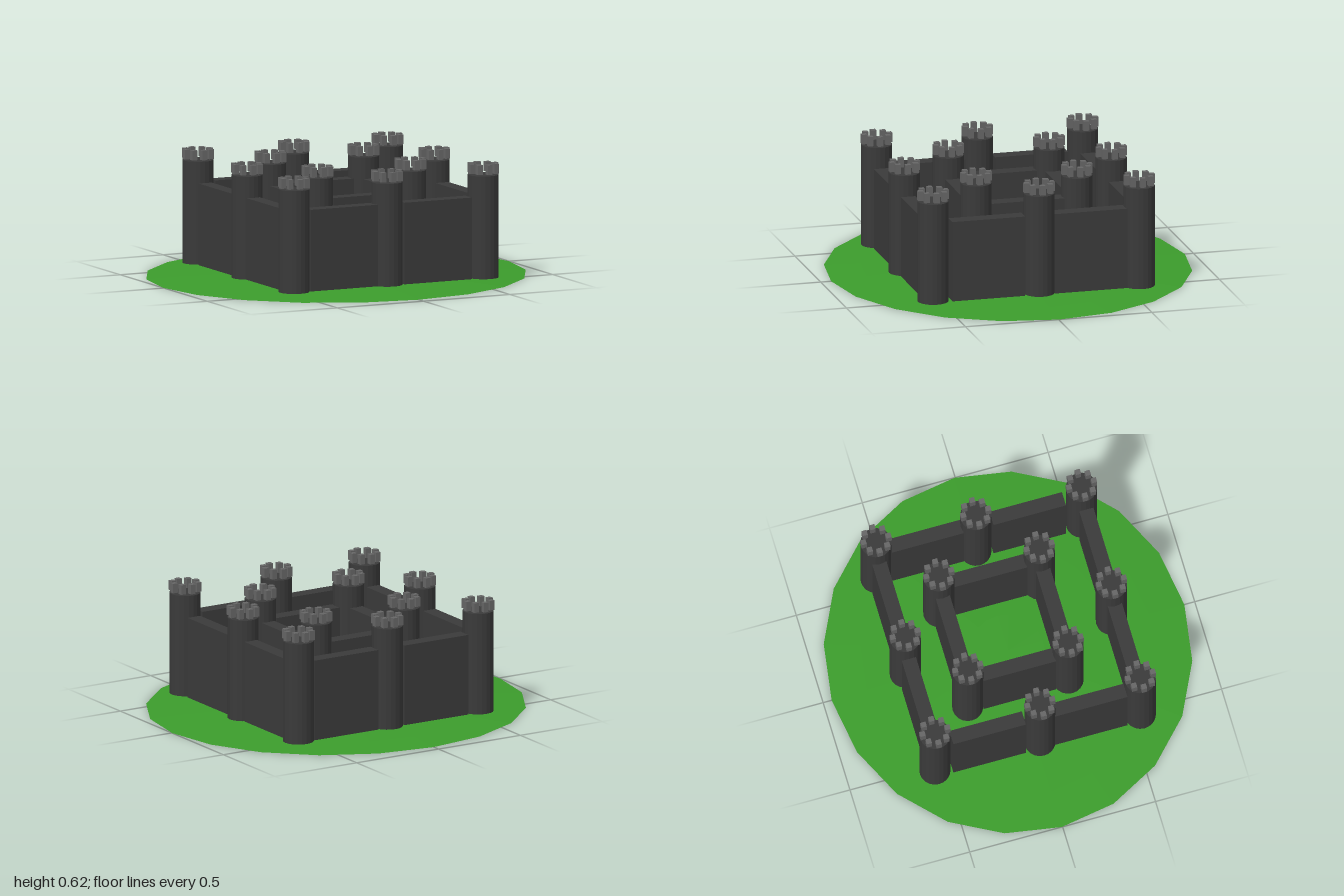
import * as THREE from 'three';

const stone = new THREE.MeshStandardMaterial({ color: 0x3a3a3a, flatShading: true });
const trim = new THREE.MeshStandardMaterial({ color: 0x666666, flatShading: true });
const grass = new THREE.MeshStandardMaterial({ color: 0x3c9c2c, flatShading: true });

const BASE = 0.025, TOWER_TOP = 0.563, WALL_TOP = 0.452;
const TOWER_R = 0.081, WALL_LENGTH = 0.39, WALL_THICK = 0.076;

const towerGeo = new THREE.CylinderGeometry(TOWER_R, TOWER_R, TOWER_TOP - BASE, 20);
const wallGeo = new THREE.BoxGeometry(WALL_LENGTH, WALL_TOP - BASE, WALL_THICK);
const merlonGeo = new THREE.BoxGeometry(0.028, 0.051, 0.028);

function addMesh(parent, name, geo, mat, x, y, z) {
  const mesh = new THREE.Mesh(geo, mat);
  mesh.name = name;
  mesh.position.set(x, y, z);
  parent.add(mesh);
  return mesh;
}

// Round tower crowned by a ring of eight square merlons
function makeTower(name, x, z) {
  const tower = new THREE.Group();
  tower.name = name;
  tower.position.set(x, 0, z);
  addMesh(tower, 'towerShaft', towerGeo, stone, 0, (BASE + TOWER_TOP) / 2, 0);
  for (let i = 0; i < 8; i++) {
    const a = (i * Math.PI) / 4;
    addMesh(tower, 'merlon', merlonGeo, trim, 0.067 * Math.cos(a), 0.5955, 0.067 * Math.sin(a));
  }
  return tower;
}

// Straight wall, running along x or turned to run along z
function addWall(parent, name, x, z, alongZ) {
  const wall = addMesh(parent, name, wallGeo, stone, x, (BASE + WALL_TOP) / 2, z);
  if (alongZ) wall.rotation.y = Math.PI / 2;
}

export function createModel() {
  const castle = new THREE.Group();
  castle.name = 'castle';

  // Shallow grassy mound with a flat underside
  const profile = [new THREE.Vector2(0, 0)];
  for (const r of [1, 0.8, 0.6, 0.4, 0.2, 0]) {
    profile.push(new THREE.Vector2(r, 0.032 * (1 - r * r)));
  }
  const mound = addMesh(castle, 'mound', new THREE.LatheGeometry(profile, 20), grass, 0, 0, -0.005);
  mound.scale.z = 0.949;

  // Outer ring: corner towers and a tower midway along each side
  const outer = new THREE.Group();
  outer.name = 'outerWard';
  castle.add(outer);
  for (const [x, z] of [
    [-0.525, -0.55], [0.03, -0.55], [0.573, -0.55], [-0.525, 0.015],
    [0.573, -0.013], [-0.525, 0.555], [0.013, 0.555], [0.57, 0.555],
  ]) outer.add(makeTower('outerTower', x, z));

  for (const [x, z, alongZ] of [
    [-0.245, -0.553, false], [0.305, -0.553, false],
    [-0.25, 0.553, false], [0.29, 0.557, false],
    [-0.527, -0.267, true], [-0.527, 0.28, true],
    [0.574, -0.283, true], [0.574, 0.267, true],
  ]) addWall(outer, 'outerWall', x, z, alongZ);

  // Inner ring: four towers joined by four walls
  const inner = new THREE.Group();
  inner.name = 'innerWard';
  inner.position.set(0.033, 0, -0.02);
  castle.add(inner);
  for (const s of [-1, 1]) {
    for (const t of [-1, 1]) inner.add(makeTower('innerTower', s * 0.269, t * 0.27));
    addWall(inner, 'innerWall', 0, s * 0.27, false);
    addWall(inner, 'innerWall', s * 0.269, 0, true);
  }
  return castle;
}
